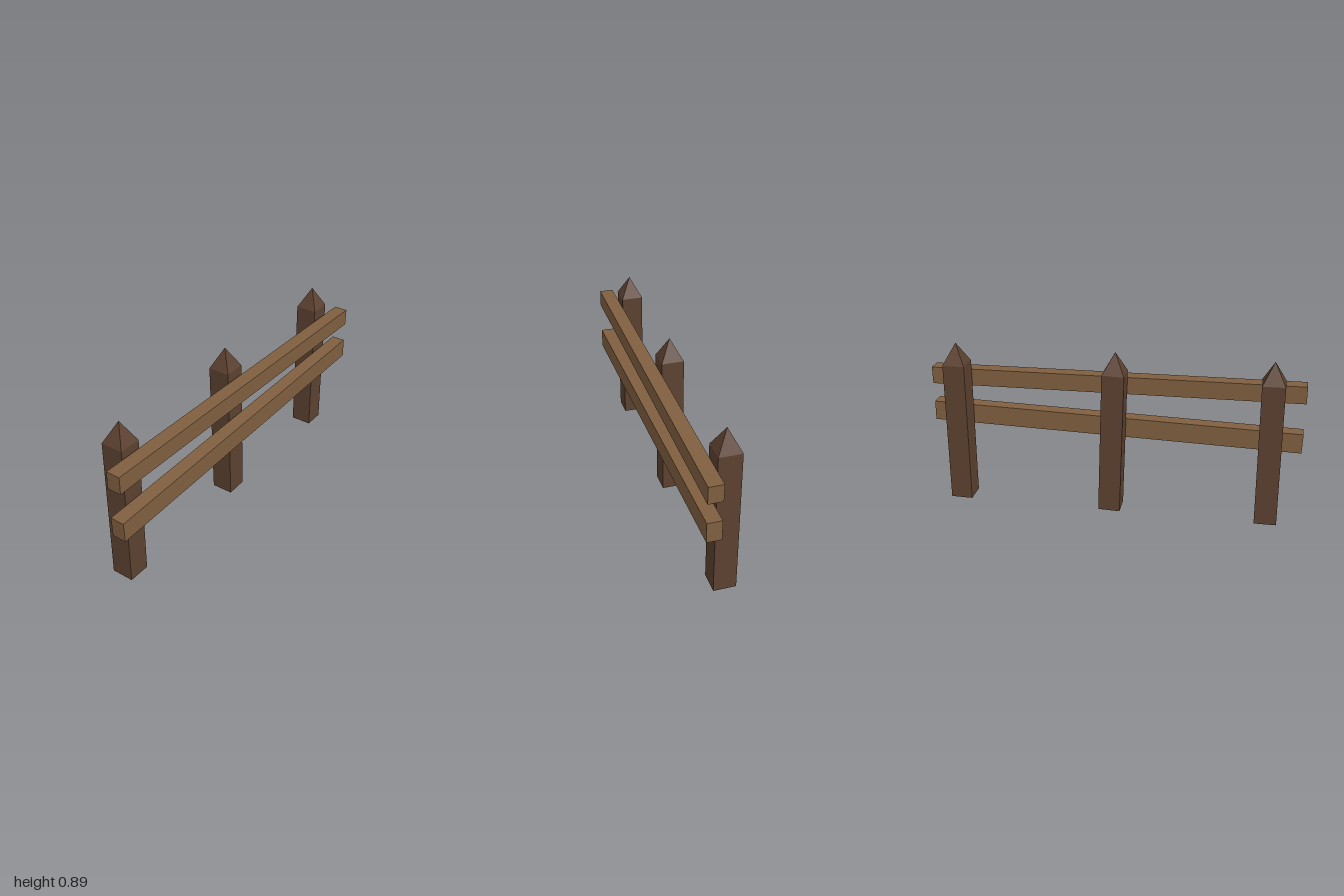
import * as THREE from 'three';

const postMaterial = new THREE.MeshStandardMaterial({ color: 0x5c4130, flatShading: true });
const railMaterial = new THREE.MeshStandardMaterial({ color: 0x805f40, flatShading: true });

// Square post with a pyramid point, leaning from its base centre to its tip
function makePost(name, baseX, tipX) {
  const half = 0.0585;
  const r = half * Math.SQRT2;
  const profile = [[0, 0], [r, 0], [r, 0.775], [0, 0.887]].map(([x, y]) => new THREE.Vector2(x, y));
  const post = new THREE.Mesh(new THREE.LatheGeometry(profile, 4, Math.PI / 4), postMaterial);
  const lean = Math.atan2(baseX - tipX, 0.887);
  post.name = name;
  post.rotation.z = lean;
  // Lift so the lowest corner rests on the ground
  post.position.set(baseX, half * Math.abs(Math.sin(lean)), -0.041);
  return post;
}

// Plank spanning the full width, given the centre height at each end
function makeRail(name, height, leftEndY, rightEndY) {
  const slope = Math.atan2(rightEndY - leftEndY, 2);
  const length = (2 - height * Math.abs(Math.sin(slope))) / Math.cos(slope);
  const rail = new THREE.Mesh(new THREE.BoxGeometry(length, height, 0.075), railMaterial);
  rail.name = name;
  rail.rotation.z = slope;
  rail.position.set(0, (leftEndY + rightEndY) / 2, 0.0625);
  return rail;
}

export function createModel() {
  const fence = new THREE.Group();
  fence.name = 'fence';
  fence.add(
    makePost('rightPost', -0.838, -0.828),
    makePost('middlePost', 0, -0.024),
    makePost('leftPost', 0.836, 0.829),
    makeRail('upperRail', 0.093, 0.694, 0.671),
    makeRail('lowerRail', 0.107, 0.424, 0.465),
  );
  return fence;
}
